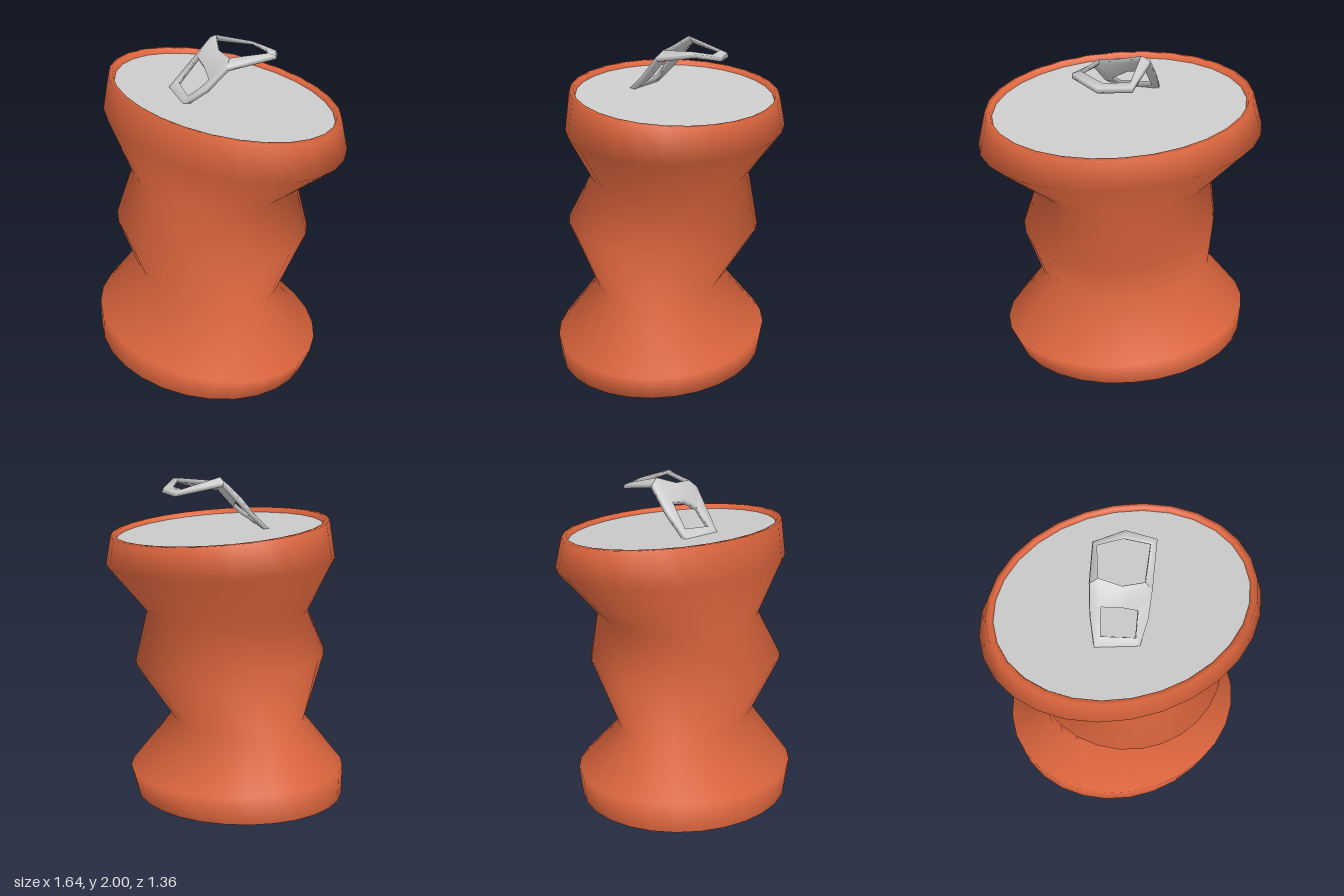
import * as THREE from 'three';

const SEGMENTS = 28;

// Skin a list of rings (each a closed list of [x, y, z]) with smooth normals
function loft(rings, material, name, closed = false) {
  const n = rings[0].length, index = [];
  const spans = closed ? rings.length : rings.length - 1;
  for (let i = 0; i < spans; i++) {
    const next = (i + 1) % rings.length;
    for (let j = 0; j < n; j++) {
      const k = (j + 1) % n;
      const a = i * n + j, b = next * n + j, c = next * n + k, d = i * n + k;
      index.push(a, b, c, a, c, d);
    }
  }
  const geometry = new THREE.BufferGeometry();
  geometry.setAttribute('position', new THREE.Float32BufferAttribute(rings.flat(2), 3));
  geometry.setIndex(index);
  geometry.computeVertexNormals();
  const mesh = new THREE.Mesh(geometry, material);
  mesh.name = name;
  return mesh;
}

// Tilted ellipse from its left, right, front and back extremes, scaled about its centre
function tiltedRing([xL, yL, xR, yR, zF, yF, zB, yB], scale = 1, lift = 0) {
  const cx = (xL + xR) / 2, cz = (zF + zB) / 2, cy = (yL + yR + yF + yB) / 4 + lift;
  return Array.from({ length: SEGMENTS }, (_, j) => {
    const a = (j / SEGMENTS) * Math.PI * 2;
    const c = Math.cos(a) * scale, s = Math.sin(a) * scale;
    return [
      cx + c * (xR - xL) / 2,
      cy + c * (yR - yL) / 2 + s * (yF - yB) / 2,
      cz + s * (zF - zB) / 2,
    ];
  });
}

// Flat bent strip: outer and inner edges run counter-clockwise seen from above
function strip(outer, inner, material, name, closed) {
  const under = ([x, y, z]) => [x, y - 0.025, z - 0.012];
  const rings = outer.map((o, i) => [o, inner[i], under(inner[i]), under(o)]);
  return loft(rings, material, name, closed);
}

export function createModel() {
  const group = new THREE.Group();
  group.name = 'crushedCan';
  const paint = new THREE.MeshStandardMaterial({ color: 0xe2683f, side: THREE.DoubleSide });
  const metal = new THREE.MeshStandardMaterial({ color: 0xcccccc, side: THREE.DoubleSide });

  // Crushed wall: xL, yL, xR, yR, zFront, yFront, zBack, yBack for each fold
  const folds = [
    [-0.77, 0.10, 0.645, 0.00, 0.67, 0.05, -0.54, 0.05],
    [-0.78, 0.28, 0.705, 0.15, 0.68, 0.22, -0.57, 0.20],
    [-0.56, 0.56, 0.47, 0.49, 0.43, 0.55, -0.30, 0.52],
    [-0.58, 0.93, 0.58, 0.86, 0.605, 0.92, -0.535, 0.87],
    [-0.545, 1.21, 0.485, 1.15, 0.47, 1.20, -0.47, 1.21],
    [-0.825, 1.55, 0.82, 1.44, 0.585, 1.52, -0.68, 1.47],
    [-0.77, 1.745, 0.775, 1.645, 0.56, 1.74, -0.65, 1.635],
  ];
  const bottom = folds[0], top = folds[folds.length - 1];

  // Wall with a rolled lip at both ends
  group.add(loft([
    tiltedRing(bottom, 0.93, 0.03),
    tiltedRing(bottom, 0.94),
    ...folds.map((f) => tiltedRing(f)),
    tiltedRing(top, 0.96, 0.002),
    tiltedRing(top, 0.945, -0.03),
  ], paint, 'wall'));

  // Recessed end discs
  group.add(loft([tiltedRing(bottom, 0, 0.025), tiltedRing(bottom, 0.935, 0.025)], paint, 'base'));
  group.add(loft([tiltedRing(top, 0.95, -0.028), tiltedRing(top, 0, -0.028)], metal, 'lid'));

  // Bent pull tab: knees where the finger loop meets the foot
  const kneeR = [0.14, 1.90, 0.04], kneeL = [-0.17, 1.97, -0.09];
  const innerR = [0.115, 1.94, 0], innerL = [-0.12, 1.995, -0.09];
  const tab = new THREE.Group();
  tab.name = 'pullTab';
  tab.add(strip(
    [kneeR, [0.265, 1.95, -0.21], [0.13, 1.915, -0.335], [-0.06, 1.915, -0.335], kneeL],
    [innerR, [0.22, 1.955, -0.19], [0.10, 1.925, -0.287], [-0.05, 1.93, -0.30], innerL],
    metal, 'fingerLoop', false));

  // Foot frame with its opening; the bridge joins the two knees
  const holeL = [-0.15, 1.88, 0.025], holeR = [0.04, 1.81, 0.09];
  tab.add(strip(
    [kneeL, [-0.215, 1.83, 0.03], [-0.245, 1.69, 0.17], [-0.015, 1.68, 0.25],
      [0.08, 1.78, 0.14], kneeR, innerR, [-0.01, 1.95, -0.02], innerL],
    [holeL, [-0.17, 1.82, 0.07], [-0.195, 1.74, 0.13], [-0.015, 1.72, 0.20],
      [0.02, 1.77, 0.13], holeR, holeR, [-0.05, 1.865, 0.06], holeL],
    metal, 'tabFoot', true));
  group.add(tab);

  return group;
}
